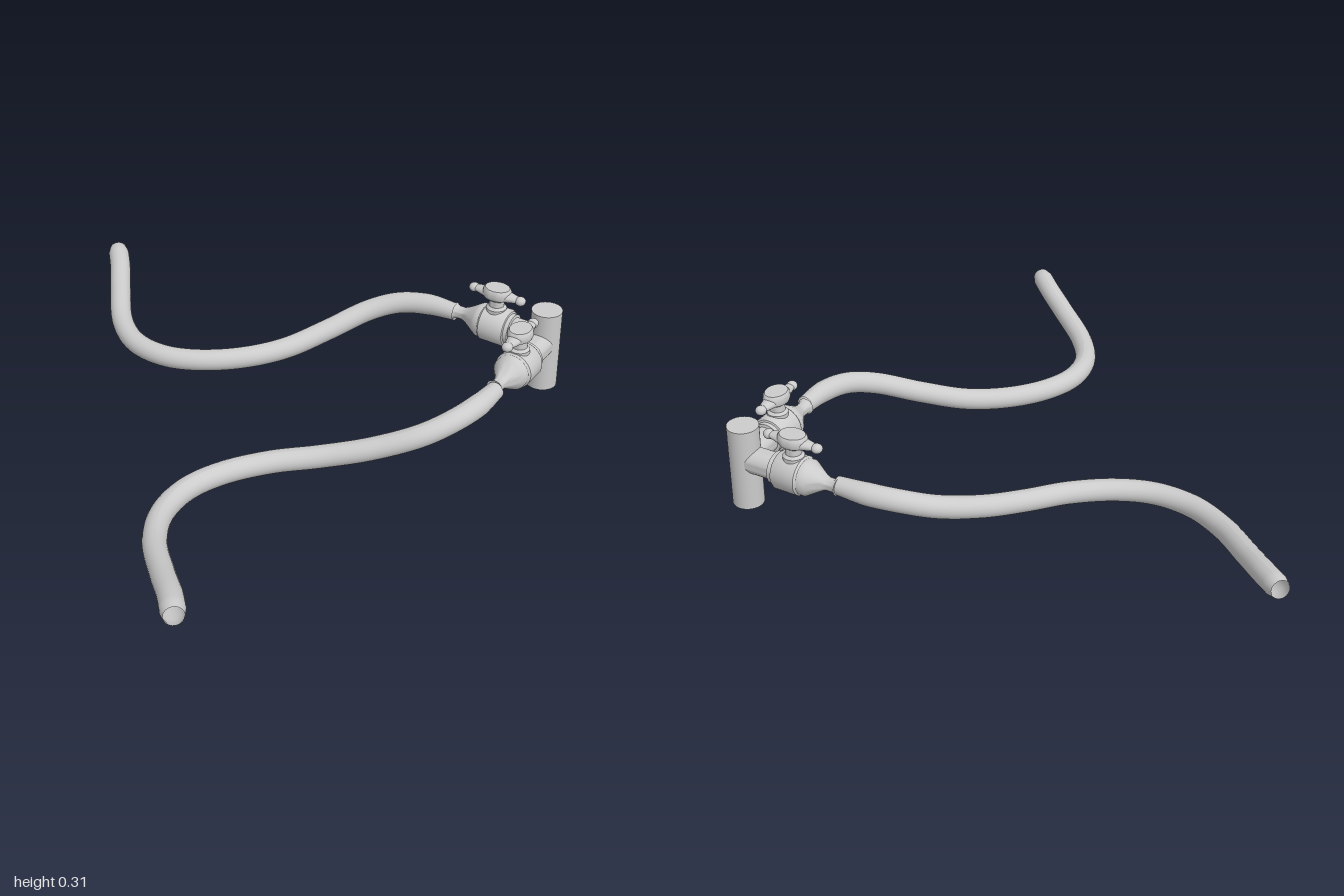
import * as THREE from 'three';
import { toCreasedNormals } from 'three/addons/utils/BufferGeometryUtils.js';

const material = new THREE.MeshStandardMaterial({ color: 0xcccccc });
const openMaterial = new THREE.MeshStandardMaterial({ color: 0xcccccc, side: THREE.DoubleSide });

function add(parent, name, geometry, mat = material) {
  const mesh = new THREE.Mesh(geometry, mat);
  mesh.name = name;
  parent.add(mesh);
  return mesh;
}

// Turned part from [radius, height] pairs, with crisp edges
function turned(profile, segments = 32) {
  const points = profile.map(([r, h]) => new THREE.Vector2(r, h));
  return toCreasedNormals(new THREE.LatheGeometry(points, segments), 0.6);
}

// Flexible hose: a tube whose radius narrows slightly at both ends
function hoseGeometry(side) {
  const path = [
    [0.418, 0.17, 0.238], [0.34, 0.168, 0.308], [0.25, 0.157, 0.356], [0.15, 0.13, 0.372],
    [0, 0.084, 0.347], [-0.15, 0.052, 0.312], [-0.3, 0.042, 0.297], [-0.45, 0.038, 0.319],
    [-0.56, 0.037, 0.373], [-0.64, 0.038, 0.47], [-0.674, 0.046, 0.6], [-0.667, 0.076, 0.78],
    [-0.657, 0.102, 0.9], [-0.656, 0.118, 1],
  ];
  const curve = new THREE.CatmullRomCurve3(path.map(([x, y, z]) => new THREE.Vector3(x, y, z * side)));
  const rings = 120, sides = 24, radius = 0.036;
  const geometry = new THREE.TubeGeometry(curve, rings, radius, sides);
  const position = geometry.attributes.position;
  const v = new THREE.Vector3();
  for (let i = 0; i <= rings; i++) {
    const u = i / rings;
    const centre = curve.getPointAt(u);
    const start = THREE.MathUtils.lerp(0.8, 1, Math.min(1, u / 0.06));
    const end = THREE.MathUtils.lerp(0.8, 1, Math.min(1, (1 - u) / 0.017));
    for (let j = 0; j <= sides; j++) {
      const k = i * (sides + 1) + j;
      v.fromBufferAttribute(position, k).sub(centre).multiplyScalar(Math.min(start, end)).add(centre);
      position.setXYZ(k, v.x, v.y, v.z);
    }
  }
  geometry.computeVertexNormals();
  return geometry;
}

// Butterfly handle on a stem, arms along local x
function createHandle() {
  const handle = new THREE.Group();
  handle.name = 'handle';
  add(handle, 'stem', turned([[0.034, 0.045], [0.034, 0.066], [0.025, 0.074], [0.024, 0.105]], 24));
  const hub = add(handle, 'handleHub', turned([
    [0, 0.095], [0.03, 0.096], [0.046, 0.106], [0.05, 0.116], [0.048, 0.132], [0.042, 0.14], [0, 0.14],
  ]));
  hub.scale.z = 0.8;
  for (const s of [-1, 1]) {
    const arm = add(handle, s < 0 ? 'innerArm' : 'outerArm', new THREE.CylinderGeometry(0.012, 0.026, 0.055, 20));
    arm.rotation.z = -s * Math.PI / 2;
    arm.position.set(s * 0.06, 0.115, 0);
    arm.scale.x = 0.7;
    const tip = add(handle, s < 0 ? 'innerTip' : 'outerTip', new THREE.SphereGeometry(0.018, 20, 14));
    tip.position.set(s * 0.085, 0.114, 0);
    tip.scale.y = 0.85;
  }
  return handle;
}

// Ball valve running outward along local +x from the post axis
function createValve() {
  const valve = new THREE.Group();
  valve.name = 'valve';
  const body = turned([
    [0.043, 0], [0.043, 0.112], [0.052, 0.114], [0.052, 0.128], [0.058, 0.13], [0.063, 0.138],
    [0.063, 0.215], [0.058, 0.222], [0.058, 0.236], [0.052, 0.246], [0.038, 0.268],
    [0.026, 0.288], [0.021, 0.302], [0.021, 0.325], [0.028, 0.336], [0, 0.336],
  ]);
  body.rotateZ(-Math.PI / 2);
  add(valve, 'valveBody', body);
  const handle = createHandle();
  handle.position.x = 0.182;
  valve.add(handle);
  return valve;
}

export function createModel() {
  const model = new THREE.Group();
  model.name = 'hoseManifold';

  // Upright pipe joining both valves
  const post = add(model, 'post', new THREE.CylinderGeometry(0.05, 0.05, 0.277, 40));
  post.position.set(0.655, 0.1465, -0.01);

  // Mirrored valve and hose on each side
  for (const side of [1, -1]) {
    const valve = createValve();
    valve.position.set(0.655, 0.17, -0.01);
    valve.rotation.y = -side * Math.PI * 0.75;
    model.add(valve);
    add(model, side > 0 ? 'frontHose' : 'backHose', hoseGeometry(side), openMaterial);
  }
  return model;
}
